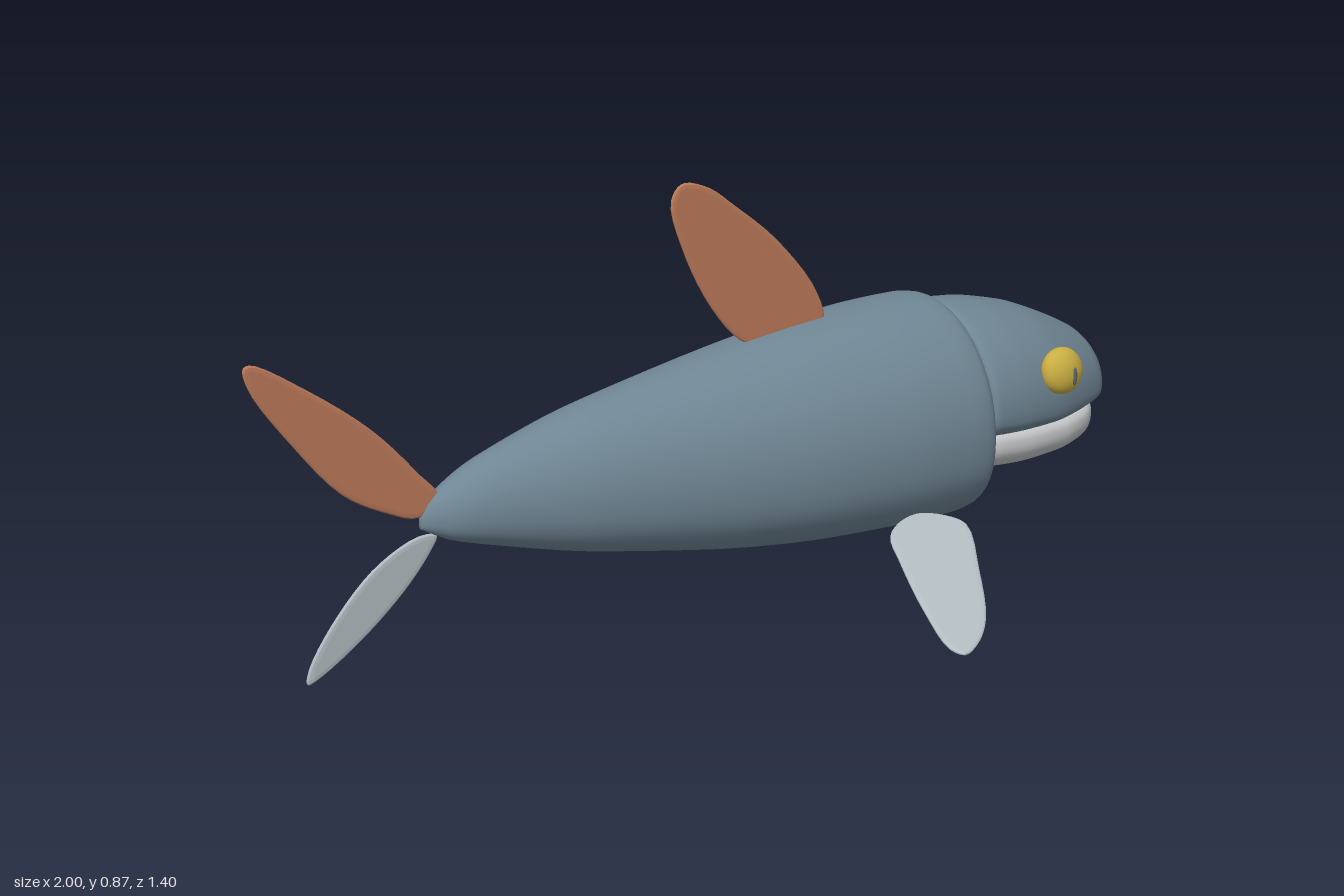
import * as THREE from 'three';

const mat = (name, color) => Object.assign(new THREE.MeshStandardMaterial({ color }), { name });

// Smooth closed skin along x; sections are [x, top, bottom, halfWidth].
// mid: height fraction of the widest line; eTop/eBot: squareness of the two halves.
function loft(sections, mid, eTop, eBot, steps = 64, sides = 48) {
  const heights = new THREE.CatmullRomCurve3(sections.map(s => new THREE.Vector3(s[0], s[1], s[2])), false, 'catmullrom', 0.4);
  const widths = new THREE.CatmullRomCurve3(sections.map(s => new THREE.Vector3(s[3], 0, 0)), false, 'catmullrom', 0.4);
  const pos = [], index = [];
  for (let i = 0; i <= steps; i++) {
    const h = heights.getPoint(i / steps), w = widths.getPoint(i / steps).x;
    const yMid = h.z + (h.y - h.z) * mid;
    for (let j = 0; j < sides; j++) {
      const a = j / sides * Math.PI * 2, c = Math.cos(a), s = Math.sin(a);
      const p = 2 / (s >= 0 ? eTop : eBot);
      const ry = s >= 0 ? h.y - yMid : yMid - h.z;
      pos.push(h.x, yMid + ry * Math.sign(s) * Math.abs(s) ** p, w * Math.sign(c) * Math.abs(c) ** p);
      if (i < steps) {
        const k = (j + 1) % sides, r = i * sides, q = r + sides;
        index.push(r + j, q + j, r + k, r + k, q + j, q + k);
      }
    }
  }
  // end caps
  const n = pos.length / 3, last = steps * sides;
  for (const s of [sections[0], sections.at(-1)]) pos.push(s[0], s[2] + (s[1] - s[2]) * mid, 0);
  for (let j = 0; j < sides; j++) {
    const k = (j + 1) % sides;
    index.push(n, j, k, n + 1, last + k, last + j);
  }
  const g = new THREE.BufferGeometry();
  g.setAttribute('position', new THREE.Float32BufferAttribute(pos, 3));
  g.setIndex(index);
  g.computeVertexNormals();
  return g;
}

// Thin blade with a rounded outline and bevelled rim, centred on z = 0
function blade(points) {
  const outline = new THREE.CatmullRomCurve3(points.map(p => new THREE.Vector3(p[0], p[1], 0)), true, 'centripetal');
  const pts = outline.getPoints(48).slice(0, -1).map(p => new THREE.Vector2(p.x, p.y));
  const g = new THREE.ExtrudeGeometry(new THREE.Shape(pts), {
    depth: 0.003, bevelEnabled: true, bevelThickness: 0.003, bevelSize: 0.01, bevelOffset: -0.01, bevelSegments: 2,
  });
  return g.translate(0, 0, -0.0015);
}

export function createModel() {
  const root = new THREE.Group();
  const slate = mat('slate skin', 0x708694);
  const copper = mat('copper fin', 0xc07d5c);
  const pale = mat('pale fin', 0xb5bfc4);
  const jawMat = mat('light jaw', 0xc6c8c9);
  const toothMat = mat('tooth', 0xdcdcd4);
  const yellow = mat('yellow eye', 0xc9ae42);
  const dark = mat('pupil', 0x5d6a66);
  const add = (name, geometry, material) => {
    const m = new THREE.Mesh(geometry, material);
    m.name = name;
    root.add(m);
    return m;
  };

  // Tapered trunk, tail tip to neck
  add('body', loft([
    [-0.64, 0.295, 0.27, 0.006], [-0.62, 0.325, 0.258, 0.025], [-0.58, 0.353, 0.238, 0.05],
    [-0.5, 0.39, 0.213, 0.077], [-0.3, 0.446, 0.16, 0.13], [0, 0.497, 0.104, 0.19],
    [0.2, 0.523, 0.081, 0.222], [0.4, 0.538, 0.071, 0.239], [0.53, 0.54, 0.069, 0.24],
    [0.58, 0.532, 0.075, 0.235], [0.6, 0.51, 0.092, 0.218], [0.61, 0.46, 0.14, 0.17],
  ], 0.42, 2, 2.4, 88), slate);

  // Head with a flat mouth line
  add('head', loft([
    [0.595, 0.46, 0.27, 0.17], [0.603, 0.5, 0.253, 0.2], [0.62, 0.511, 0.245, 0.213],
    [0.7, 0.503, 0.24, 0.211], [0.8, 0.477, 0.238, 0.195], [0.88, 0.442, 0.242, 0.166],
    [0.95, 0.405, 0.25, 0.133], [0.98, 0.378, 0.26, 0.105], [0.992, 0.35, 0.275, 0.075], [0.997, 0.325, 0.295, 0.03],
  ], 0.25, 2, 3), slate);

  // Lower jaw
  add('lowerJaw', loft([
    [0.637, 0.24, 0.2, 0.09], [0.65, 0.252, 0.165, 0.125], [0.68, 0.257, 0.141, 0.143],
    [0.76, 0.258, 0.135, 0.151], [0.86, 0.26, 0.14, 0.146], [0.93, 0.262, 0.151, 0.122],
    [0.965, 0.258, 0.166, 0.09], [0.98, 0.24, 0.19, 0.05],
  ], 0.6, 3, 2.1, 48), jawMat);

  // Eyes, pupils and teeth on both sides
  for (const [side, label] of [[1, 'left'], [-1, 'right']]) {
    const eye = add(label + 'Eye', new THREE.SphereGeometry(0.05, 28, 20), yellow);
    eye.scale.z = 0.64;
    eye.position.set(0.793, 0.378, side * 0.192);
    eye.rotation.x = -side * 0.2;
    const pupil = add(label + 'Pupil', new THREE.SphereGeometry(0.02, 12, 10), dark);
    pupil.scale.set(0.3, 1, 0.2);
    pupil.position.set(0.803, 0.372, side * 0.223);
    const tooth = add(label + 'Tooth', new THREE.SphereGeometry(0.024, 16, 12), toothMat);
    tooth.scale.set(1, 0.8, 0.6);
    tooth.position.set(0.85, 0.245, side * 0.118);
  }

  // Fins on the centre line
  add('dorsalFin', blade([
    [0.31, 0.52], [0.293, 0.59], [0.195, 0.715], [0.09, 0.805], [0.025, 0.853], [-0.035, 0.868],
    [-0.06, 0.835], [-0.03, 0.725], [0.035, 0.6], [0.11, 0.515], [0.2, 0.48],
  ]), copper);
  add('upperTailFin', blade([
    [-1, 0.665], [-0.985, 0.67], [-0.875, 0.602], [-0.74, 0.495], [-0.645, 0.39], [-0.597, 0.325],
    [-0.645, 0.295], [-0.715, 0.32], [-0.805, 0.375], [-0.91, 0.5], [-0.99, 0.62],
  ]), copper);
  add('lowerTailFin', blade([
    [-0.605, 0.25], [-0.645, 0.255], [-0.74, 0.212], [-0.83, 0.125], [-0.89, 0.035], [-0.895, 0.004],
    [-0.865, 0.014], [-0.765, 0.078], [-0.675, 0.155], [-0.62, 0.22],
  ]), pale);

  // Side fins, sloping down and back
  const side = [
    [0.4, 0.235], [0.45, 0.275], [0.46, 0.31], [0.375, 0.465], [0.27, 0.625], [0.2, 0.69],
    [0.155, 0.71], [0.14, 0.683], [0.175, 0.55], [0.245, 0.37], [0.285, 0.285], [0.345, 0.243],
  ];
  for (const [s, label] of [[1, 'left'], [-1, 'right']]) {
    const g = blade(side).rotateX(s * (Math.PI / 2 + 0.175)).translate(0, 0.194, 0);
    add(label + 'SideFin', g, pale);
  }
  return root;
}
